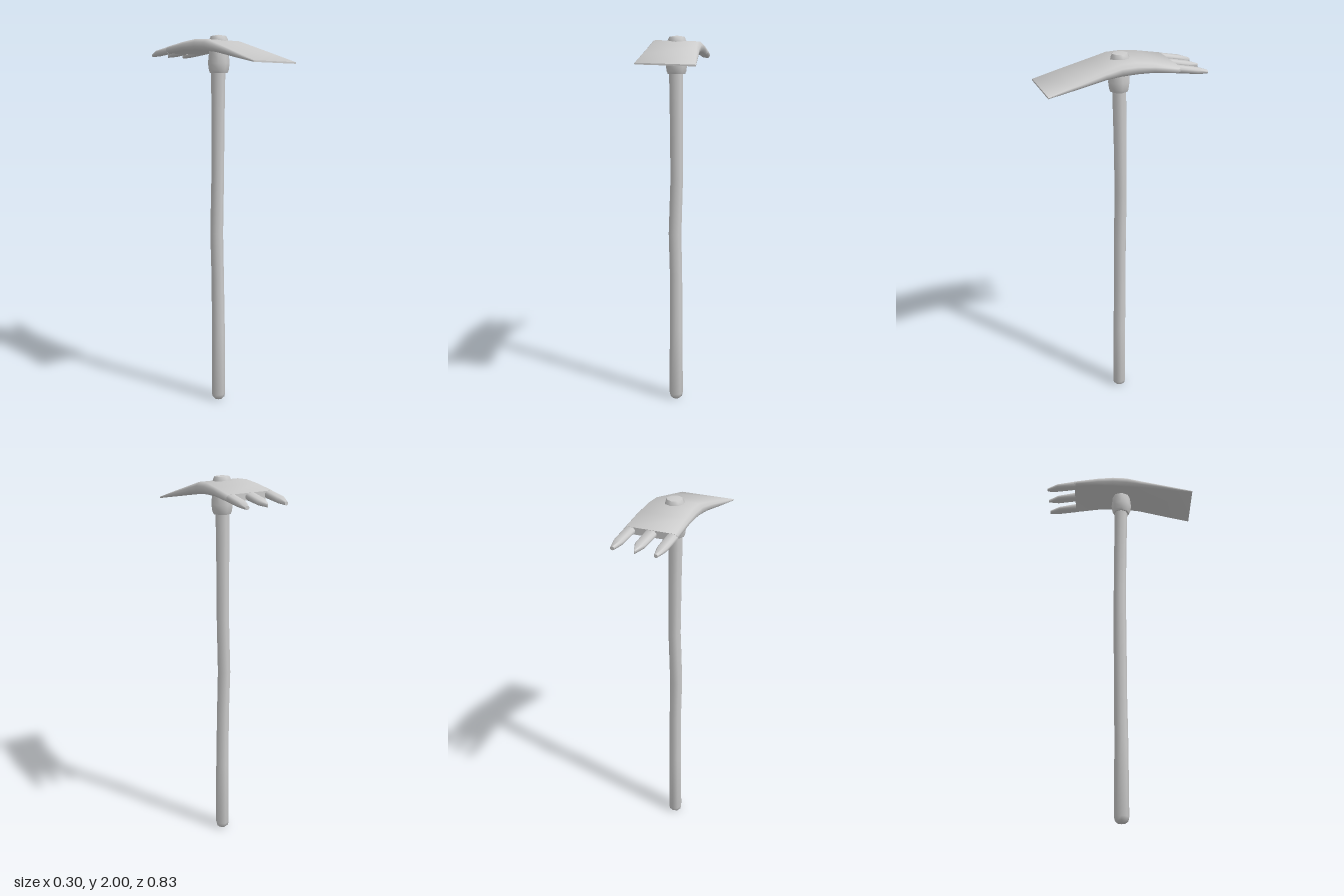
import * as THREE from 'three';
import { toCreasedNormals } from 'three/addons/utils/BufferGeometryUtils.js';

const material = new THREE.MeshStandardMaterial({ color: 0xcccccc });

// Skins a list of equal-sized rings (each counter-clockwise seen from the first ring's end) and caps both ends.
function loft(name, rings, crease) {
  const n = rings[0].length, last = (rings.length - 1) * n, index = [];
  for (let r = 0; r < rings.length - 1; r++) {
    for (let i = 0; i < n; i++) {
      const a = r * n + i, b = r * n + (i + 1) % n;
      index.push(a, a + n, b, b, a + n, b + n);
    }
  }
  for (let i = 1; i < n - 1; i++) {
    index.push(0, i, i + 1, last, last + i + 1, last + i);
  }
  const geometry = new THREE.BufferGeometry();
  geometry.setAttribute('position', new THREE.Float32BufferAttribute(rings.flat(2), 3));
  geometry.setIndex(index);
  return named(name, toCreasedNormals(geometry, crease));
}

function named(name, geometry) {
  const mesh = new THREE.Mesh(geometry, material);
  mesh.name = name;
  return mesh;
}

// Chamfered rectangle across the head at depth z; the head leans slightly to one side.
function slab([z, x0, x1, bottom, top]) {
  const c = Math.min((x1 - x0) * 0.3, (top - bottom) * 0.3);
  return [
    [x1 - c, top], [x0 + c, top], [x0, top - c], [x0, bottom + c],
    [x0 + c, bottom], [x1 - c, bottom], [x1, bottom + c], [x1, top - c],
  ].map(([x, y]) => [x, y - 0.03 * x, z]);
}

// Octagonal ring around the handle.
function octagon([y, x, z, r]) {
  return Array.from({ length: 8 }, (_, i) => {
    const a = i * Math.PI / 4;
    return [x + r * Math.cos(a), y, z - r * Math.sin(a)];
  });
}

function turned(name, profile, x, z) {
  const points = profile.map(([r, y]) => new THREE.Vector2(r, y));
  const mesh = named(name, toCreasedNormals(new THREE.LatheGeometry(points, 8), 0.9));
  mesh.position.set(x, 0, z);
  return mesh;
}

export function createModel() {
  const model = new THREE.Group();
  model.name = 'mattock';

  // Slightly crooked wooden handle: y, centre x, centre z, radius
  model.add(loft('handle', [
    [1.95, -0.008, 0.008, 0.037],
    [1.80, -0.008, 0.008, 0.037],
    [1.55, -0.007, 0.004, 0.035],
    [1.25, -0.006, 0.001, 0.034],
    [0.95, -0.015, 0.003, 0.035],
    [0.70, -0.009, 0.005, 0.034],
    [0.40, -0.008, 0.009, 0.036],
    [0.03, -0.008, 0.010, 0.038],
    [0.01, -0.008, 0.010, 0.033],
    [0.00, -0.008, 0.010, 0.022],
  ].map(octagon), 0.9));

  // Socket under the head and the handle's end above it
  model.add(turned('collar', [
    [0, 1.805], [0.046, 1.805], [0.052, 1.82], [0.057, 1.855], [0.05, 1.92],
  ], -0.006, 0.01));
  model.add(turned('handleCap', [
    [0.05, 1.94], [0.05, 1.972], [0.04, 1.994], [0, 2.0],
  ], -0.004, 0.006));

  // Broad blade, arched over the handle: z, left x, right x, bottom, top
  const head = new THREE.Group();
  head.name = 'head';
  head.add(loft('blade', [
    [0.415, -0.148, 0.147, 1.856, 1.864],
    [0.28, -0.142, 0.138, 1.878, 1.904],
    [0.12, -0.134, 0.127, 1.906, 1.950],
    [0.04, -0.135, 0.127, 1.914, 1.972],
    [-0.04, -0.137, 0.128, 1.918, 1.974],
    [-0.13, -0.139, 0.128, 1.918, 1.962],
    [-0.26, -0.142, 0.128, 1.903, 1.938],
  ].map(slab), 0.9));

  // Three prongs: x extents at the root, the shoulder and the tip
  const prongs = [
    ['rightProng', -0.142, -0.089, -0.139, -0.09, -0.119, -0.101],
    ['middleProng', -0.037, 0.021, -0.031, 0.021, -0.006, -0.002],
    ['leftProng', 0.073, 0.128, 0.079, 0.128, 0.098, 0.118],
  ];
  for (const [name, a0, a1, b0, b1, c0, c1] of prongs) {
    head.add(loft(name, [
      [-0.255, a0, a1, 1.903, 1.938],
      [-0.36, b0, b1, 1.890, 1.919],
      [-0.415, c0, c1, 1.885, 1.902],
    ].map(slab), 0.9));
  }
  model.add(head);
  return model;
}
